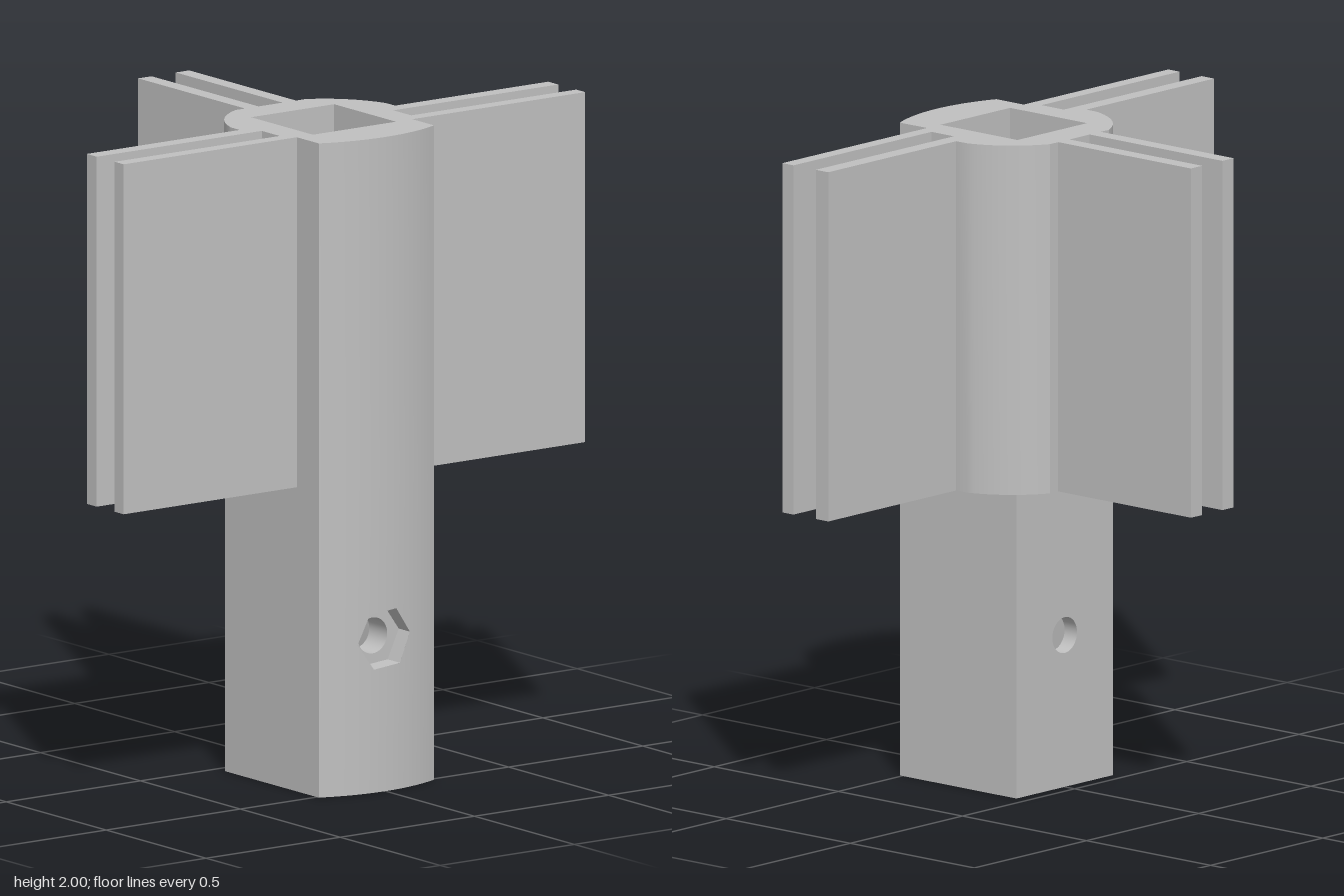
import * as THREE from 'three';
import { toCreasedNormals } from 'three/addons/utils/BufferGeometryUtils.js';

const TOP = 2, STEP = 0.93;            // full height, underside of the winged section
const W = 0.215, IN = 0.155;           // outer and inner half widths of the post
const BACK = 0.04, IN_BACK = 0.09, IN_FRONT = 0.40;
const BOLT_Y = 0.465, BORE = 0.055, HEX = 0.098, SEAT = 0.49;

// bowed front of the post
const frontZ = x => 0.019 + Math.sqrt(0.536 ** 2 - x * x);
const frontXs = Array.from({ length: 25 }, (_, i) => -W + (2 * W * i) / 24);

// plan shape from [x, z] points, to be laid flat with rotateX(-PI / 2)
const plan = pts => new THREE.Shape(pts.map(([x, z]) => new THREE.Vector2(x, -z)));
const channel = () => plan([[-IN, IN_BACK], [IN, IN_BACK], [IN, IN_FRONT], [-IN, IN_FRONT]]);
const frontPts = frontXs.map(x => [x, frontZ(x)]);

// upright rectangle, optionally with the bolt bore
function wallShape(halfWidth, bored) {
  const s = new THREE.Shape([[-halfWidth, 0], [halfWidth, 0], [halfWidth, STEP], [-halfWidth, STEP]]
    .map(p => new THREE.Vector2(...p)));
  if (bored) s.holes.push(new THREE.Path().absarc(0, BOLT_Y, BORE, 0, Math.PI * 2, true));
  return s;
}

export function createModel() {
  const group = new THREE.Group();
  const grey = new THREE.MeshStandardMaterial({ color: 0xc0c0c0, side: THREE.DoubleSide });
  grey.name = 'light grey';
  const add = (name, geometry) => {
    const mesh = new THREE.Mesh(geometry, grey);
    mesh.name = name;
    group.add(mesh);
    return mesh;
  };

  // winged section: half outline, mirrored, with the square channel cut out
  const half = [[W, IN_FRONT], [0.86, 0.40], [0.86, 0.355], [0.245, 0.355],
    [0.245, 0.265], [0.86, 0.265], [0.86, 0.215], [0.29, 0.215]];
  const a0 = Math.asin(0.08 / 0.3), a1 = Math.asin(0.27 / 0.3);
  for (let i = 0; i <= 12; i++) {
    const a = a0 + ((a1 - a0) * i) / 12;
    half.push([0.3 * Math.cos(a), 0.25 - 0.3 * Math.sin(a)]);
  }
  half.push([0.095, -0.02], [0.095, -0.555], [0.045, -0.555], [0.045, -0.02]);
  const mirrored = half.map(([x, z]) => [-x, z]).reverse();
  const section = plan([...frontPts, ...half, ...mirrored]);
  section.holes.push(channel());
  const wings = new THREE.ExtrudeGeometry(section, { depth: TOP - STEP, bevelEnabled: false });
  wings.rotateX(-Math.PI / 2).translate(0, STEP, 0);
  add('wingedSection', toCreasedNormals(wings, 0.3));

  // post end face
  const end = plan([...frontPts, [W, BACK], [-W, BACK]]);
  end.holes.push(channel());
  add('postEnd', new THREE.ShapeGeometry(end).rotateX(-Math.PI / 2));

  // post back wall and channel faces, bored for the bolt
  const panel = (name, halfWidth, z, turn) => {
    const g = new THREE.ShapeGeometry(wallShape(halfWidth, true), 24);
    add(name, g.rotateY(turn).translate(0, 0, z));
  };
  panel('postBack', W, BACK, Math.PI);
  panel('channelBack', IN, IN_BACK, 0);
  panel('channelFront', IN, IN_FRONT, Math.PI);

  // post sides, outside and inside
  for (const s of [1, -1]) {
    const side = (name, x, z0, z1, turn) => add(name,
      new THREE.ShapeGeometry(wallShape((z1 - z0) / 2, false)).rotateY(turn).translate(x, 0, (z0 + z1) / 2));
    const label = s > 0 ? 'left' : 'right';
    side(label + 'PostSide', s * W, BACK, frontZ(W), s * Math.PI / 2);
    side(label + 'ChannelSide', s * IN, IN_BACK, IN_FRONT, -s * Math.PI / 2);
  }

  // post front: vertical strips that part around the hexagonal nut recess
  const hex = Array.from({ length: 6 }, (_, k) => {
    const a = THREE.MathUtils.degToRad(5 + 60 * k);
    return [HEX * Math.cos(a), HEX * Math.sin(a)];
  });
  const hexTop = x => {
    for (let k = 0; k < 3; k++) {
      const [x0, y0] = hex[k], [x1, y1] = hex[k + 1];
      if (x <= x0 && x >= x1) return y0 + ((y1 - y0) * (x - x0)) / (x1 - x0);
    }
    return null;
  };
  const pos = [];
  const quad = (a, b, c, d) => pos.push(...a, ...b, ...c, ...a, ...c, ...d);
  const strip = (xa, xb, ya, yb, yc, yd) => quad([xa, ya, frontZ(xa)], [xb, yb, frontZ(xb)],
    [xb, yc, frontZ(xb)], [xa, yd, frontZ(xa)]);
  const xs = [...frontXs, ...hex.map(p => p[0])].sort((a, b) => a - b);
  for (let i = 0; i + 1 < xs.length; i++) {
    const a = xs[i], b = xs[i + 1];
    if (b - a < 1e-6) continue;
    if (hexTop((a + b) / 2) === null) { strip(a, b, 0, 0, STEP, STEP); continue; }
    strip(a, b, BOLT_Y + hexTop(a), BOLT_Y + hexTop(b), STEP, STEP);
    strip(a, b, 0, 0, BOLT_Y - hexTop(-b), BOLT_Y - hexTop(-a));
  }
  // recess walls
  hex.forEach(([px, py], k) => {
    const [qx, qy] = hex[(k + 1) % 6];
    quad([px, py + BOLT_Y, frontZ(px)], [qx, qy + BOLT_Y, frontZ(qx)],
      [qx, qy + BOLT_Y, SEAT], [px, py + BOLT_Y, SEAT]);
  });
  const front = new THREE.BufferGeometry();
  front.setAttribute('position', new THREE.Float32BufferAttribute(pos, 3));
  front.computeVertexNormals();
  add('postFront', toCreasedNormals(front, 0.3));

  // recess floor
  const seat = new THREE.Shape(hex.map(p => new THREE.Vector2(...p)));
  seat.holes.push(new THREE.Path().absarc(0, 0, BORE, 0, Math.PI * 2, true));
  add('nutSeat', new THREE.ShapeGeometry(seat, 24)).position.set(0, BOLT_Y, SEAT);

  // bolt bores through the front and back walls
  for (const [name, z0, z1] of [['frontBore', IN_FRONT, SEAT], ['backBore', BACK, IN_BACK]]) {
    const g = new THREE.CylinderGeometry(BORE, BORE, z1 - z0, 48, 1, true).rotateX(Math.PI / 2);
    add(name, g).position.set(0, BOLT_Y, (z0 + z1) / 2);
  }
  return group;
}
